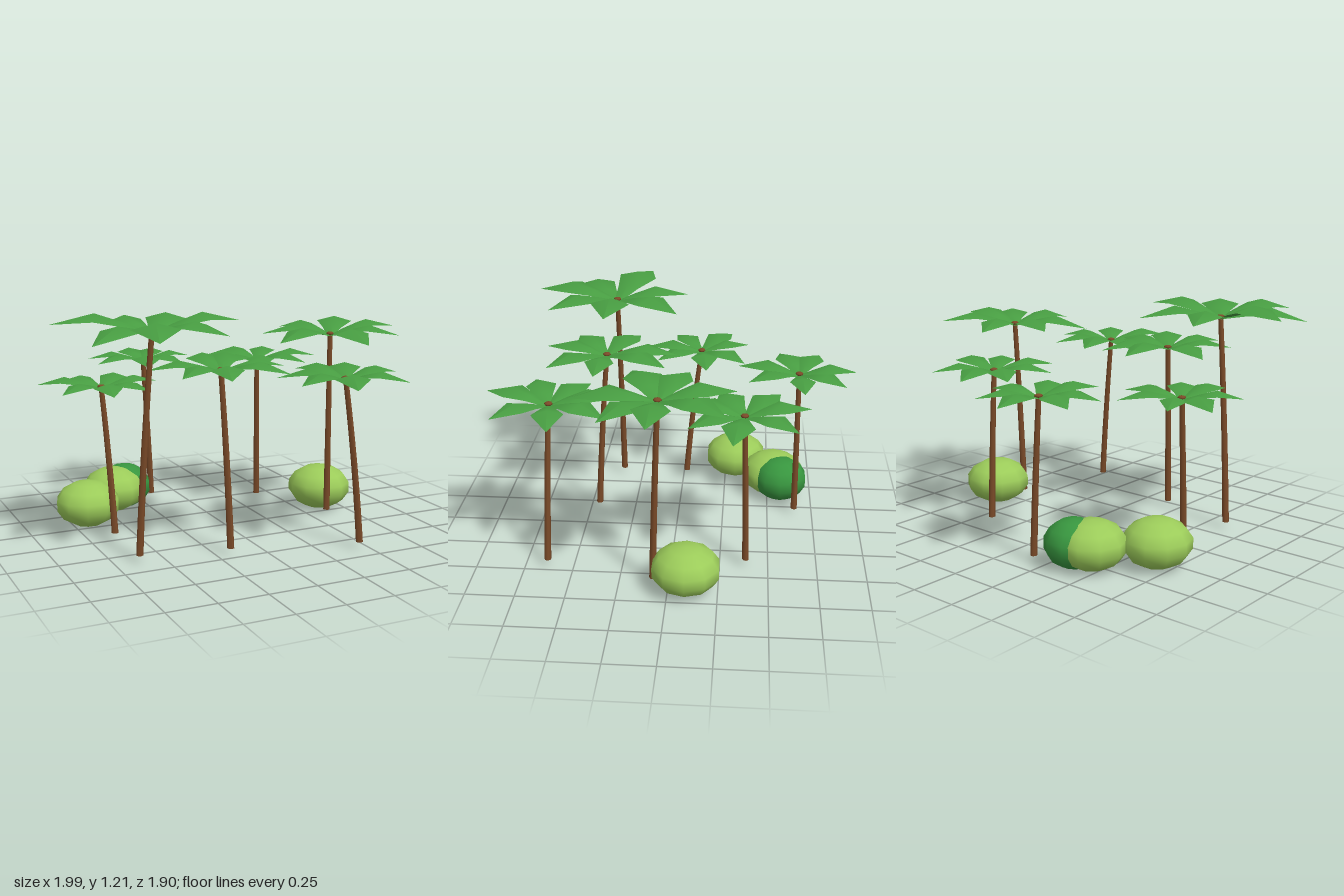
import * as THREE from 'three';

const bark = new THREE.MeshStandardMaterial({ color: 0x7a4a28 });
bark.name = 'bark brown';
const green = new THREE.MeshStandardMaterial({ color: 0x489e42, side: THREE.DoubleSide });
green.name = 'frond green';
const lime = new THREE.MeshStandardMaterial({ color: 0x9ccc5a });
lime.name = 'bush lime';
const deep = new THREE.MeshStandardMaterial({ color: 0x38963f });
deep.name = 'bush deep green';

// Each palm: trunk base [x, z], crown centre [x, y, z],
// frond tips as [dx, dz, optional pitch], offsets in hundredths
const PALMS = [
  { base: [-0.625, 0.36], top: [-0.55, 1.11, 0.37],
    tips: [[-45, -16, 0.06], [-10, -39], [26, -35], [45, 2, 0.06], [24, 35], [-14, 46], [-37, 24, -0.06]] },
  { base: [-0.18, 0.45], top: [-0.205, 0.91, 0.39],
    tips: [[-1, -38], [19, -33], [33, 3], [23, 29], [-10, 34], [-28, 19], [-33, -15, -0.03]] },
  { base: [-0.62, -0.02], top: [-0.65, 0.78, -0.1],
    tips: [[-29, -17], [-11, -27], [20, -25], [32, -4], [18, 24], [-4, 32], [-25, 16]] },
  { base: [-0.18, -0.65], top: [-0.22, 0.82, -0.645],
    tips: [[-4, -31], [18, -24], [29, -2], [14, 27], [-9, 33], [-30, 10], [-29, -12]] },
  { base: [0.38, -0.385], top: [0.365, 0.825, -0.36],
    tips: [[-10, -33], [19, -26], [35, 5], [17, 27], [-13, 32], [-29, 13], [-28, -18]] },
  { base: [0.585, 0.078], top: [0.605, 1.0, 0.045],
    tips: [[-35, -13], [-12, -37], [24, -33, 0.05], [39, 2, 0.06], [28, 25], [-2, 42, -0.04], [-39, 16, -0.04]] },
  { base: [0.45, 0.635], top: [0.365, 0.86, 0.605],
    tips: [[-9, -35], [17, -30], [33, -5], [21, 25], [-14, 34], [-31, 12], [-29, -17, -0.02]] },
];

// Arched frond along +x, unit length: stations of [distance, half width, ridge height]
function frondGeometry() {
  const stations = [[0, 0.04, 0.01], [0.28, 0.125, 0.1], [0.57, 0.235, 0.175], [1, 0, 0.04]];
  const pos = [], idx = [];
  for (const [d, w, h] of stations) {
    for (const side of [-1, 0, 1]) pos.push(d, h - Math.abs(side) * w * 0.27, side * w);
  }
  for (let i = 0; i < stations.length - 1; i++) {
    for (let k = 0; k < 2; k++) {
      const a = i * 3 + k, b = a + 1, c = a + 3, d = a + 4;
      idx.push(a, b, c, b, d, c);
    }
  }
  const geo = new THREE.BufferGeometry();
  geo.setAttribute('position', new THREE.Float32BufferAttribute(pos, 3));
  geo.setIndex(idx);
  geo.computeVertexNormals();
  return geo;
}

// Gently curved trunk: a capped cylinder whose rings follow a bend
function trunkGeometry(base, top) {
  const y0 = 0.034, h = top[1] + 0.01 - y0;
  const geo = new THREE.CylinderGeometry(0.0135, 0.018, h, 7, 6);
  const p = geo.attributes.position;
  for (let i = 0; i < p.count; i++) {
    const t = p.getY(i) / h + 0.5;
    const lean = 0.7 * t + 0.3 * t * t;
    p.setXYZ(i,
      p.getX(i) + base[0] + (top[0] - base[0]) * lean,
      y0 + t * h,
      p.getZ(i) + base[1] + (top[2] - base[1]) * lean);
  }
  geo.computeVertexNormals();
  return geo;
}

export function createModel() {
  const model = new THREE.Group();
  model.name = 'palmGrove';
  const add = (parent, name, geo, mat) => {
    const mesh = new THREE.Mesh(geo, mat);
    mesh.name = name;
    parent.add(mesh);
    return mesh;
  };

  // Palms
  const leaf = frondGeometry();
  const bud = new THREE.SphereGeometry(0.021, 8, 6).scale(1, 0.5, 1).translate(0, 0.013, 0);
  for (const { base, top, tips } of PALMS) {
    const palm = new THREE.Group();
    palm.name = 'palm';
    model.add(palm);
    add(palm, 'trunk', trunkGeometry(base, top), bark);
    add(palm, 'crownBud', bud, bark).position.set(...top);
    for (const [dx, dz, pitch = 0] of tips) {
      const frond = add(palm, 'frond', leaf, green);
      frond.position.set(...top);
      frond.rotation.set(0, Math.atan2(-dz, dx), pitch);
      frond.scale.setScalar(Math.hypot(dx, dz) / 100);
    }
  }

  // Rounded bushes: [x, z, radius, material]
  const ball = new THREE.SphereGeometry(1, 10, 7);
  const bushes = [
    [-0.672, -0.31, 0.175, lime], [-0.45, -0.53, 0.175, lime],
    [0.63, -0.09, 0.175, lime], [-0.372, -0.572, 0.15, deep],
  ];
  for (const [x, z, r, mat] of bushes) {
    const bush = add(model, 'bush', ball, mat);
    bush.position.set(x, 0.123, z);
    bush.scale.set(r, 0.123, r * 1.02);
  }
  return model;
}
